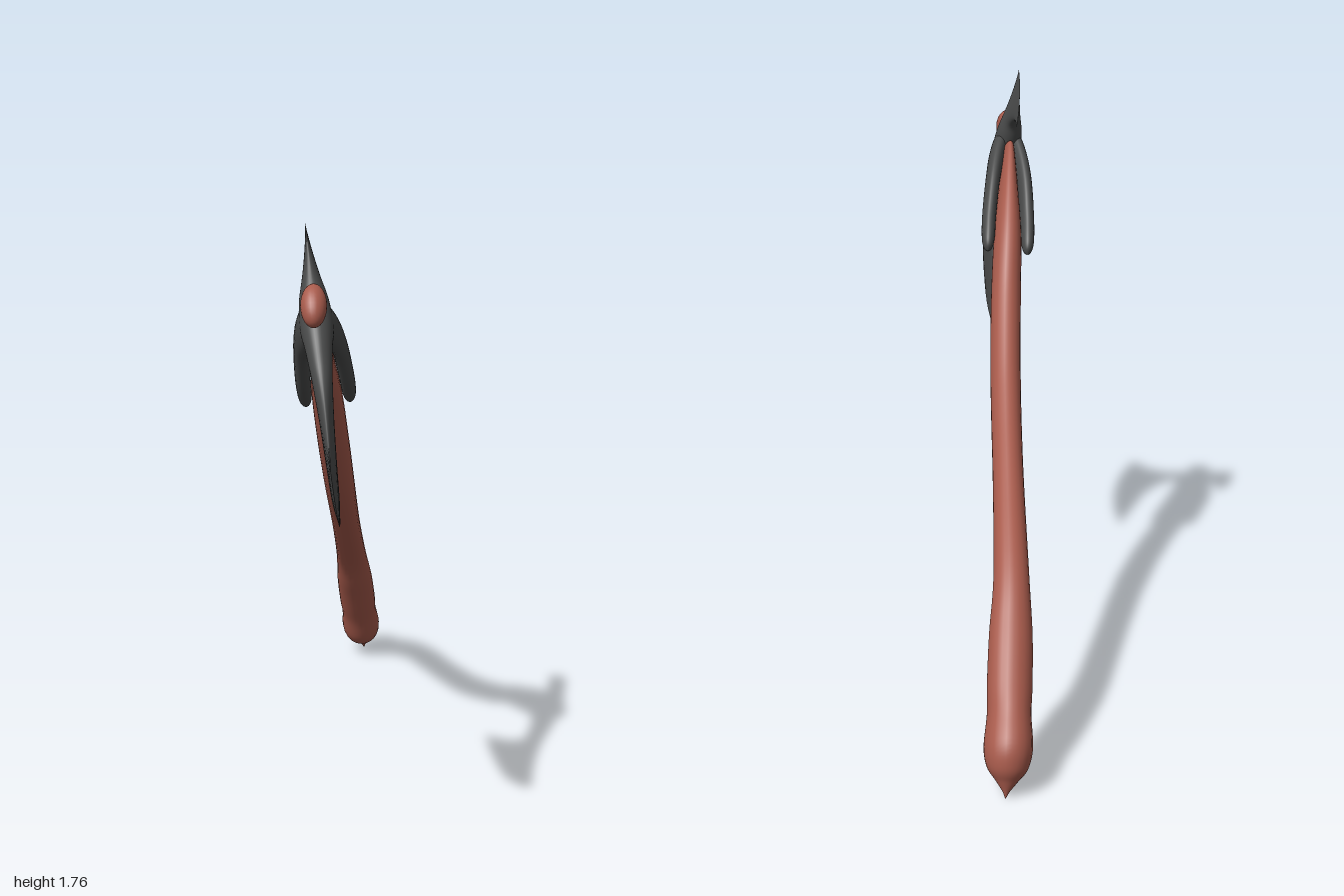
import * as THREE from 'three';

const wood = new THREE.MeshStandardMaterial({ color: 0xa85b4c });
wood.name = 'redWood';
const iron = new THREE.MeshStandardMaterial({ color: 0x4a4b4b });
iron.name = 'darkIron';

// The whole axe lies in one leaning plane; w is the offset along its normal
const planeX = (z, y) => 0.094 + 0.284 * z - 0.119 * y;
const normal = new THREE.Vector3(1, 0.119, -0.284).normalize();
const place = (z, y, w) => new THREE.Vector3(planeX(z, y), y, z).addScaledVector(normal, w);

// Smooth rows of numbers: Catmull-Rom on every column
function smoothRows(rows, steps) {
  const out = [];
  const at = (i) => rows[Math.min(Math.max(i, 0), rows.length - 1)];
  for (let i = 0; i < rows.length - 1; i++) {
    const [a, b, c, d] = [at(i - 1), at(i), at(i + 1), at(i + 2)];
    for (let k = 0; k < steps; k++) {
      const t = k / steps;
      out.push(b.map((p, n) => p + 0.5 * t * (c[n] - a[n]
        + t * (2 * a[n] - 5 * p + 4 * c[n] - d[n]
        + t * (3 * (p - c[n]) + d[n] - a[n])))));
    }
  }
  out.push(at(rows.length - 1));
  return out;
}

// Skin a list of closed rings
function skin(name, rings, material) {
  const n = rings[0].length;
  const index = [];
  for (let i = 0; i < rings.length - 1; i++) {
    for (let j = 0; j < n; j++) {
      const a = i * n + j, b = i * n + (j + 1) % n;
      index.push(a, a + n, b, b, a + n, b + n);
    }
  }
  const geometry = new THREE.BufferGeometry().setFromPoints(rings.flat());
  geometry.setIndex(index);
  geometry.computeVertexNormals();
  const mesh = new THREE.Mesh(geometry, material);
  mesh.name = name;
  return mesh;
}

// Oval bar along stations of [z, y, w, half width in plane, half thickness]
function bar(name, stations, material, sides = 24) {
  const rows = smoothRows(stations, 6);
  const rings = rows.map(([z, y, w, hw, ht], i) => {
    const p = rows[Math.max(i - 1, 0)], q = rows[Math.min(i + 1, rows.length - 1)];
    const len = Math.hypot(q[0] - p[0], q[1] - p[1]) || 1;
    const tz = (q[0] - p[0]) / len, ty = (q[1] - p[1]) / len;
    return Array.from({ length: sides }, (_, j) => {
      const a = (j / sides) * Math.PI * 2;
      const s = Math.cos(a) * Math.max(hw, 0.001);
      return place(z - ty * s, y + tz * s, w + Math.sin(a) * Math.max(ht, 0.001));
    });
  });
  return skin(name, rings, material);
}

// Head: sections of front point, middle point, rear point (z, y each), half thickness
function head(name, sections, material, sides = 40) {
  const rings = smoothRows(sections, 6).map(([lz, ly, mz, my, rz, ry, t]) =>
    Array.from({ length: sides }, (_, j) => {
      const a = (j / sides) * Math.PI * 2;
      const s = (1 - Math.cos(a)) / 2;
      const l = (1 - s) * (1 - 2 * s), m = 4 * s * (1 - s), r = s * (2 * s - 1);
      return place(l * lz + m * mz + r * rz, l * ly + m * my + r * ry, Math.max(t, 0) * Math.sin(a));
    }));
  return skin(name, rings, material);
}

export function createModel() {
  const axe = new THREE.Group();
  axe.name = 'axe';

  // Curved handle from the eye down to the pommel and its nub
  axe.add(bar('handle', [
    [0.58, 1.51, 0, 0.003, 0.003],
    [0.565, 1.495, 0, 0.045, 0.015],
    [0.52, 1.455, 0, 0.063, 0.022],
    [0.33, 1.268, 0, 0.064, 0.042],
    [0.19, 1.095, 0, 0.06, 0.046],
    [0.02, 0.925, 0, 0.06, 0.046],
    [-0.14, 0.8, 0, 0.057, 0.045],
    [-0.34, 0.665, 0, 0.053, 0.045],
    [-0.61, 0.485, 0, 0.05, 0.05],
    [-0.73, 0.36, 0, 0.058, 0.06],
    [-0.82, 0.25, 0, 0.063, 0.062],
    [-0.87, 0.19, 0, 0.068, 0.06],
    [-0.925, 0.12, 0, 0.077, 0.066],
    [-0.955, 0.075, 0, 0.06, 0.055],
    [-0.97, 0.045, 0, 0.03, 0.03],
    [-0.98, 0.02, 0, 0.01, 0.01],
    [-0.985, 0.002, 0, 0.001, 0.001],
  ], wood));

  // Rear spike, eye and bearded blade in one sweep
  axe.add(head('axeHead', [
    [0.53, 1.76, 0.43, 1.69, 0.41, 1.59, 0],
    [0.56, 1.71, 0.5, 1.655, 0.46, 1.605, 0.012],
    [0.59, 1.65, 0.55, 1.61, 0.52, 1.58, 0.025],
    [0.62, 1.58, 0.58, 1.555, 0.54, 1.53, 0.04],
    [0.66, 1.53, 0.615, 1.49, 0.57, 1.45, 0.045],
    [0.7, 1.47, 0.665, 1.445, 0.63, 1.43, 0.036],
    [0.74, 1.4, 0.705, 1.38, 0.67, 1.365, 0.028],
    [0.81, 1.32, 0.745, 1.28, 0.68, 1.275, 0.02],
    [0.9, 1.245, 0.79, 1.17, 0.64, 1.165, 0.014],
    [0.96, 1.22, 0.8, 1.07, 0.555, 1.06, 0.009],
    [1.0, 1.205, 0.79, 1.01, 0.45, 0.94, 0],
  ], iron));

  // Iron straps running down both sides of the handle
  for (const [name, side] of [['leftStrap', 1], ['rightStrap', -1]]) {
    axe.add(bar(name, [
      [0.645, 1.535, 0, 0.002, 0.002],
      [0.62, 1.515, 0.015, 0.045, 0.025],
      [0.55, 1.473, 0.035, 0.053, 0.026],
      [0.45, 1.405, 0.052, 0.044, 0.023],
      [0.36, 1.31, 0.061, 0.037, 0.022],
      [0.3, 1.25, 0.063, 0.03, 0.02],
      [0.275, 1.225, 0.063, 0.019, 0.013],
      [0.265, 1.215, 0.063, 0.001, 0.001],
    ].map(([z, y, w, hw, ht]) => [z, y, w * side, hw, ht]), iron));
  }

  // Rounded handle end showing through the eye
  const cap = new THREE.Mesh(new THREE.SphereGeometry(1, 24, 16), wood);
  cap.name = 'handleEndCap';
  cap.scale.set(0.035, 0.063, 0.038);
  cap.rotation.set(-0.7, 0.28, 0, 'YXZ');
  cap.position.copy(place(0.67, 1.56, 0));
  axe.add(cap);

  return axe;
}
